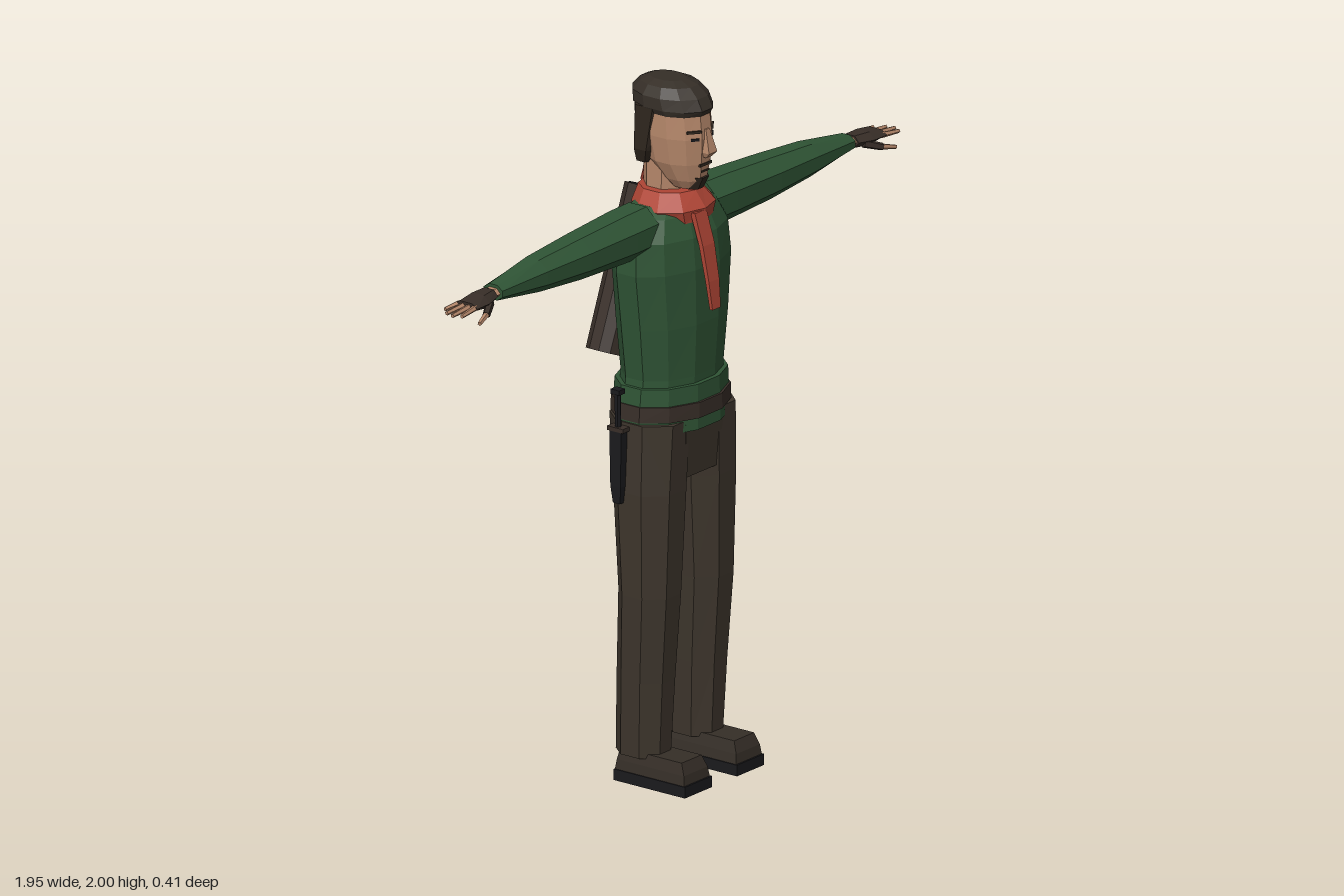
import * as THREE from 'three';

const mat = (name, color) => Object.assign(new THREE.MeshStandardMaterial({ color }), { name });
const green = mat('green wool', 0x2f5435);
const brown = mat('brown trousers', 0x3d352c);
const leather = mat('dark leather', 0x382e28);
const capBrown = mat('cap brown', 0x352e27);
const red = mat('red cloth', 0xae4535);
const skin = mat('skin', 0xb5876a);
const hairDark = mat('dark hair', 0x30271f);
const black = mat('black', 0x1a1a1d);

// Faceted normals
function flat(geo) {
  const g = geo.index ? geo.toNonIndexed() : geo;
  g.computeVertexNormals();
  return g;
}

function add(parent, name, geo, material) {
  const m = new THREE.Mesh(flat(geo), material);
  m.name = name;
  parent.add(m);
  return m;
}

// Loft of n-sided rings, each [y, x0, x1, z0, z1], with y rising
function loft(rings, n = 8) {
  const pos = [], idx = [], k = 1 / Math.cos(Math.PI / n);
  for (const [y, x0, x1, z0, z1] of rings) {
    for (let i = 0; i < n; i++) {
      const a = ((i + 0.5) / n) * Math.PI * 2;
      pos.push((x0 + x1) / 2 + Math.cos(a) * k * (x1 - x0) / 2, y,
        (z0 + z1) / 2 + Math.sin(a) * k * (z1 - z0) / 2);
    }
  }
  for (let r = 0; r < rings.length - 1; r++) {
    for (let i = 0; i < n; i++) {
      const a = r * n + i, b = r * n + (i + 1) % n;
      idx.push(a, a + n, b, b, a + n, b + n);
    }
  }
  const top = (rings.length - 1) * n;
  for (let i = 1; i < n - 1; i++) {
    idx.push(0, i, i + 1, top, top + i + 1, top + i);
  }
  const g = new THREE.BufferGeometry();
  g.setAttribute('position', new THREE.Float32BufferAttribute(pos, 3));
  g.setIndex(idx);
  return g;
}

// Symmetric rings: [y, halfWidth, zBack, zFront]
const sym = (rings, n) => loft(rings.map(([y, w, b, f]) => [y, -w, w, b, f]), n);

// Small rod between two points
function rod(parent, name, a, b, r0, r1, material, sides = 5) {
  const p = new THREE.Vector3(...a), q = new THREE.Vector3(...b);
  const d = q.clone().sub(p);
  const m = add(parent, name, new THREE.CylinderGeometry(r1, r0, d.length(), sides), material);
  m.position.copy(p).add(q).multiplyScalar(0.5);
  m.quaternion.setFromUnitVectors(new THREE.Vector3(0, 1, 0), d.normalize());
  return m;
}

function box(parent, name, size, at, material, rotY = 0) {
  const m = add(parent, name, new THREE.BoxGeometry(...size), material);
  m.position.set(...at);
  m.rotation.y = rotY;
  return m;
}

function makeBody(g) {
  add(g, 'sweater', sym([
    [1.1, 0.172, -0.095, 0.135], [1.17, 0.166, -0.09, 0.137], [1.32, 0.182, -0.1, 0.146],
    [1.48, 0.2, -0.105, 0.147], [1.57, 0.193, -0.1, 0.138], [1.63, 0.158, -0.08, 0.115],
    [1.655, 0.11, -0.06, 0.09]], 12), green);
  add(g, 'sweaterHem', sym([[1.02, 0.188, -0.115, 0.152], [1.15, 0.178, -0.108, 0.15]], 12), green);
  add(g, 'belt', sym([[1.055, 0.188, -0.12, 0.158], [1.1, 0.185, -0.119, 0.158]], 12), leather);
  add(g, 'crotch', sym([[0.88, 0.07, -0.075, 0.125], [1.04, 0.085, -0.09, 0.138]], 4), brown);
  // Scarf
  add(g, 'scarfCollar', sym([
    [1.61, 0.1, -0.07, 0.132], [1.645, 0.117, -0.077, 0.135], [1.69, 0.08, -0.068, 0.1]], 10), red);
  add(g, 'scarfTail', loft([
    [1.37, -0.036, 0, 0.182, 0.192], [1.45, -0.042, 0.004, 0.172, 0.184],
    [1.55, -0.045, 0.006, 0.152, 0.166], [1.64, -0.045, 0.006, 0.122, 0.138]], 4), red);
}

function makeHead(g) {
  add(g, 'neck', sym([[1.6, 0.056, -0.055, 0.06], [1.78, 0.056, -0.058, 0.07]], 8), skin);
  add(g, 'face', sym([
    [1.7, 0.036, 0.03, 0.118], [1.725, 0.052, 0, 0.132], [1.775, 0.072, -0.045, 0.14],
    [1.85, 0.081, -0.065, 0.145], [1.93, 0.08, -0.065, 0.136]], 12), skin);
  add(g, 'nose', sym([
    [1.795, 0.012, 0.12, 0.152], [1.81, 0.018, 0.12, 0.166], [1.875, 0.008, 0.12, 0.147]], 4), skin);
  add(g, 'hair', sym([
    [1.76, 0.066, -0.068, 0], [1.8, 0.081, -0.075, 0.025], [1.93, 0.086, -0.08, 0.065]], 8), hairDark);
  add(g, 'goatee', sym([[1.698, 0.028, 0.06, 0.123], [1.735, 0.034, 0.06, 0.141]], 8), hairDark);
  box(g, 'moustache', [0.05, 0.008, 0.008], [0, 1.773, 0.138], hairDark);
  box(g, 'mouth', [0.034, 0.005, 0.006], [0, 1.753, 0.136], hairDark);
  for (const s of [-1, 1]) {
    box(g, 'eyebrow', [0.042, 0.007, 0.008], [s * 0.04, 1.872, 0.131], hairDark, s * 0.65);
    box(g, 'eye', [0.024, 0.007, 0.006], [s * 0.038, 1.85, 0.133], black, s * 0.62);
  }
  // Flat cap with a short peak
  add(g, 'cap', sym([
    [1.914, 0.08, -0.06, 0.138], [1.93, 0.087, -0.094, 0.147], [1.962, 0.085, -0.095, 0.13],
    [1.988, 0.066, -0.072, 0.1], [2, 0.04, -0.045, 0.065]], 12), capBrown);
}

function makeLeg(g) {
  add(g, 'trouserLeg', loft([
    [0.08, 0.055, 0.175, -0.062, 0.09], [0.3, 0.046, 0.184, -0.056, 0.102],
    [0.55, 0.037, 0.195, -0.046, 0.12], [0.85, 0.02, 0.2, -0.066, 0.13],
    [1.05, 0.01, 0.192, -0.085, 0.135]], 8), brown);
  add(g, 'sole', loft([[0, 0.055, 0.175, -0.042, 0.205], [0.032, 0.055, 0.175, -0.042, 0.205]], 4), black);
  add(g, 'shoe', loft([
    [0.03, 0.058, 0.172, -0.04, 0.2], [0.06, 0.063, 0.168, -0.036, 0.196],
    [0.093, 0.072, 0.16, -0.03, 0.182]], 4), capBrown);
}

function makeArm(g) {
  // Lofted upright, then laid along x: ring x becomes minus height
  const along = (rings, n) => loft(rings.map(([x, lo, hi, b, f]) => [x, -hi, -lo, b, f]), n)
    .rotateZ(-Math.PI / 2);
  add(g, 'sleeve', along([
    [0.13, 1.525, 1.662, -0.066, 0.08], [0.22, 1.524, 1.66, -0.066, 0.08],
    [0.42, 1.532, 1.65, -0.055, 0.075], [0.6, 1.546, 1.638, -0.042, 0.065],
    [0.78, 1.57, 1.614, -0.018, 0.048]], 8), green);
  add(g, 'wrist', along([[0.77, 1.577, 1.606, -0.008, 0.038], [0.805, 1.579, 1.602, -0.006, 0.036]], 6), skin);
  add(g, 'glove', along([
    [0.797, 1.573, 1.607, -0.012, 0.042], [0.85, 1.568, 1.606, -0.018, 0.054],
    [0.905, 1.574, 1.598, -0.018, 0.054]], 6), leather);
  [[-0.012, -0.022, 0.945], [0.008, 0.003, 0.97], [0.028, 0.028, 0.977], [0.046, 0.052, 0.965]].forEach(([z0, z1, x]) => {
    rod(g, 'finger', [0.895, 1.586, z0], [x, 1.58, z1], 0.009, 0.006, skin);
  });
  rod(g, 'thumbGlove', [0.825, 1.58, 0.04], [0.875, 1.562, 0.066], 0.013, 0.011, leather);
  rod(g, 'thumb', [0.87, 1.564, 0.064], [0.92, 1.552, 0.078], 0.009, 0.006, skin);
}

function makeQuiver(g) {
  const len = 0.466;
  add(g, 'quiverTube', new THREE.CylinderGeometry(0.057, 0.052, len, 10), leather);
  add(g, 'quiverOpening', new THREE.CylinderGeometry(0.045, 0.045, 0.006, 10), black)
    .position.y = len / 2;
  [[-0.024, 0.008, 0.08], [0.002, -0.012, 0.115], [0.026, 0.004, 0.1]].forEach(([x, z, h]) => {
    rod(g, 'arrowShaft', [x, 0.1, z], [x, len / 2 + h, z], 0.004, 0.004, hairDark);
    for (const turn of [0, Math.PI / 2]) {
      box(g, 'arrowFeather', [0.02, 0.065, 0.005], [x, len / 2 + h - 0.032, z], red, turn);
    }
  });
  g.position.set(0.005, 1.405, -0.145);
  g.rotation.z = -Math.atan2(0.18, 0.43);
}

function makeKnife(g) {
  add(g, 'sheath', loft([
    [0.82, -0.216, -0.2, -0.012, 0.012], [0.87, -0.22, -0.196, -0.018, 0.018],
    [1.03, -0.222, -0.194, -0.02, 0.02]], 4), black);
  box(g, 'knifeGuard', [0.03, 0.012, 0.055], [-0.208, 1.035, 0], leather);
  rod(g, 'knifeHandle', [-0.208, 1.03, 0], [-0.21, 1.14, 0], 0.009, 0.01, black, 6);
  box(g, 'knifePommel', [0.026, 0.014, 0.03], [-0.21, 1.143, 0], black);
}

export function createModel() {
  const model = new THREE.Group();
  model.name = 'archer';
  const part = (name, build, mirror = false) => {
    const g = new THREE.Group();
    g.name = name;
    build(g);
    if (mirror) g.scale.x = -1;
    model.add(g);
  };
  part('body', makeBody);
  part('head', makeHead);
  part('leftLeg', makeLeg);
  part('rightLeg', makeLeg, true);
  part('leftArm', makeArm);
  part('rightArm', makeArm, true);
  part('quiver', makeQuiver);
  part('knife', makeKnife);
  return model;
}
